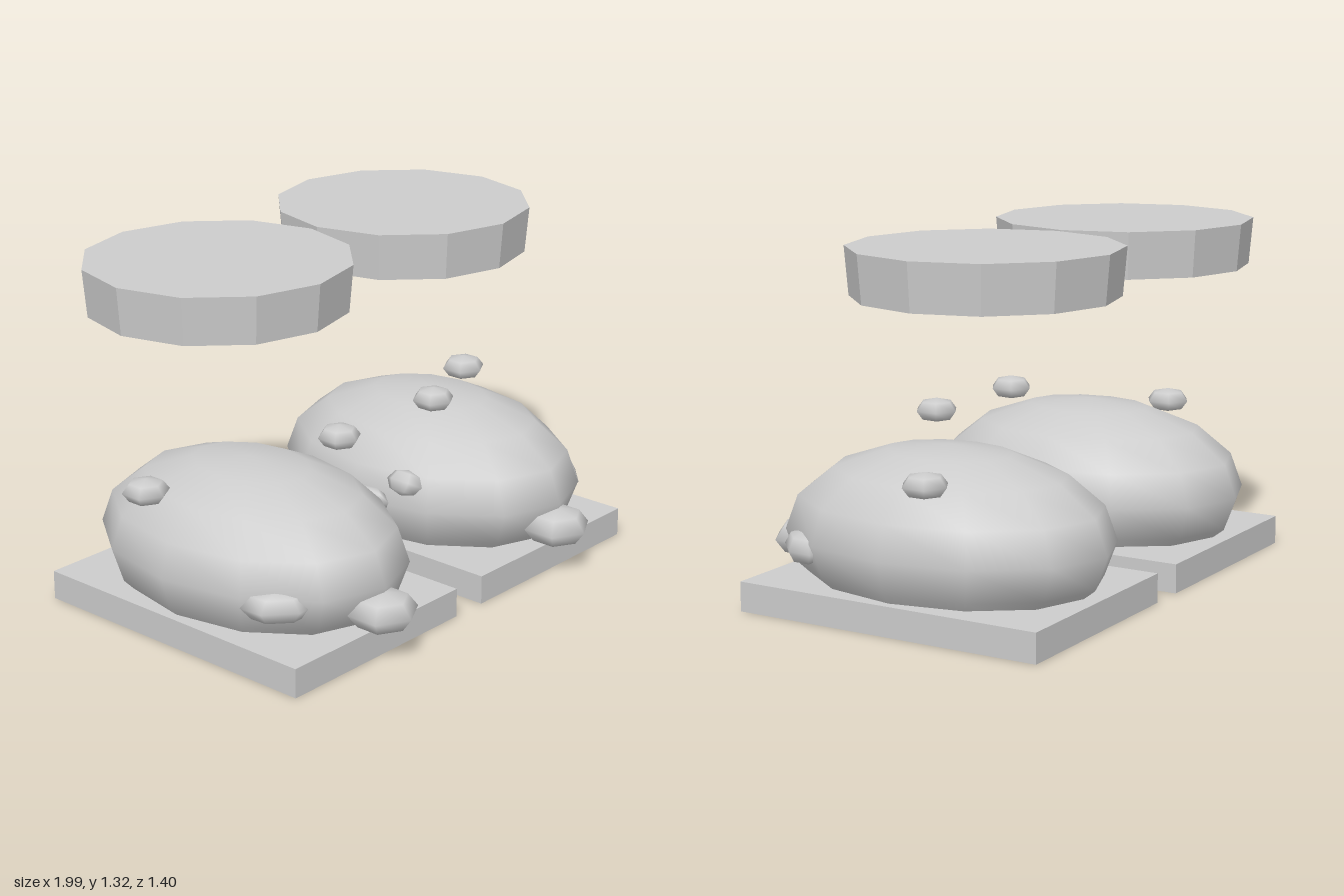
import * as THREE from 'three';

const grey = new THREE.MeshStandardMaterial({ color: 0xcccccc });
grey.name = 'light grey';
const discGrey = grey;

// Low-poly pebbles: position, radii (local x, y, z), yaw, tilt
const PEBBLES = [
  ['frontPebble', [0.505, 0.182, 0.566], [0.13, 0.072, 0.133], Math.PI / 2, 0],
  ['outerPebble', [0.81, 0.238, 0.354], [0.135, 0.06, 0.077], 0.73, 0],
  ['innerPebble', [0.096, 0.37, 0.155], [0.085, 0.05, 0.038], Math.PI / 2, -0.5],
  ['upperInnerPebble', [0.265, 0.66, 0.15], [0.082, 0.045, 0.081], Math.PI / 2, 0],
  ['upperOuterPebble', [0.891, 0.542, -0.207], [0.087, 0.047, 0.088], Math.PI / 2, 0],
];

function addMesh(parent, name, geometry, material, x, y, z) {
  const mesh = new THREE.Mesh(geometry, material);
  mesh.name = name;
  mesh.position.set(x, y, z);
  parent.add(mesh);
  return mesh;
}

// One half of the pair; side is +1 for left, -1 for right
function createHalf(side) {
  const half = new THREE.Group();
  half.name = side > 0 ? 'leftHalf' : 'rightHalf';
  const cx = 0.505 * side;

  // Flat slab underneath
  addMesh(half, 'base', new THREE.BoxGeometry(0.865, 0.11, 1.22), grey, cx, 0.055, -0.06);

  // Domed body, its open lower rim hidden inside the slab
  const dome = new THREE.SphereGeometry(1, 12, 6, 0, Math.PI * 2, 0, Math.PI * 0.75);
  dome.scale(0.463, 0.33, 0.64);
  addMesh(half, 'body', dome, grey, cx, 0.27, -0.06);

  // Floating faceted disc, slightly wider at the top
  const disc = new THREE.CylinderGeometry(0.49, 0.475, 0.175, 12).toNonIndexed();
  disc.computeVertexNormals();
  addMesh(half, 'floatingDisc', disc, discGrey, cx, 1.2275, -0.21);

  // Pebbles around the body
  for (const [name, [x, y, z], radii, yaw, tilt] of PEBBLES) {
    const geometry = new THREE.SphereGeometry(1, 6, 4);
    geometry.scale(...radii);
    const pebble = addMesh(half, name, geometry, grey, x * side, y, z);
    pebble.rotation.set(0, yaw * side, tilt * side, 'ZYX');
  }
  return half;
}

export function createModel() {
  const model = new THREE.Group();
  model.name = 'domedPair';
  for (const side of [1, -1]) model.add(createHalf(side));
  return model;
}
